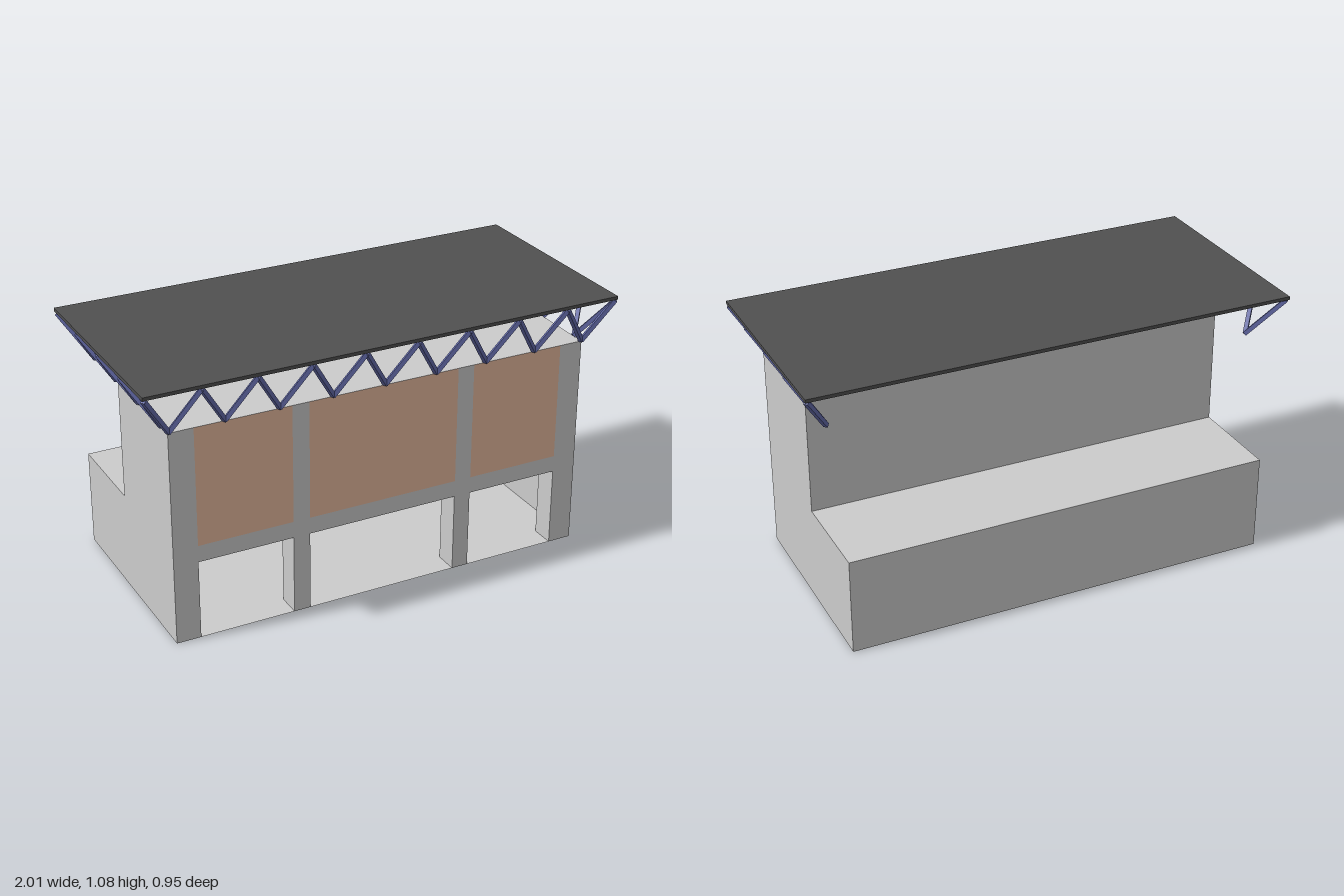
import * as THREE from 'three';

const HALF = 0.885;               // half width of the building
const FRONT = 0.41, BACK = -0.475, STEP = -0.075;
const TOP = 0.89, LOW = 0.4;
const ROOF_Y = 1.07;
const BAYS = [[-0.785, -0.39], [-0.32, 0.32], [0.39, 0.785]];

const grey = new THREE.MeshStandardMaterial({ color: 0xcccccc, side: THREE.DoubleSide });
const orange = new THREE.MeshStandardMaterial({ color: 0xe8ba9f });
const dark = new THREE.MeshStandardMaterial({ color: 0x505050 });
const blue = new THREE.MeshStandardMaterial({ color: 0x636aa8 });

function add(parent, name, geometry, material, x = 0, y = 0, z = 0) {
  const mesh = new THREE.Mesh(geometry, material);
  mesh.name = name;
  mesh.position.set(x, y, z);
  parent.add(mesh);
  return mesh;
}

// Square bar between two points
function addBar(parent, a, b) {
  const bar = add(parent, 'trussBar', new THREE.BoxGeometry(0.017, 0.017, a.distanceTo(b)), blue);
  bar.position.lerpVectors(a, b, 0.5);
  bar.lookAt(b);
}

// Zigzag of bars: from a top node down to a bottom node and up again
function makeTruss(name, count, topNode, bottomNode) {
  const truss = new THREE.Group();
  truss.name = name;
  for (let i = 0; i < count; i++) {
    addBar(truss, topNode(i), bottomNode(i));
    addBar(truss, bottomNode(i), topNode(i + 1));
  }
  return truss;
}

export function createModel() {
  const model = new THREE.Group();
  model.name = 'building';

  // Hollow shell: stepped section as [z, y], open towards the front
  const shell = new THREE.Group();
  shell.name = 'shell';
  model.add(shell);
  const section = [[FRONT, 0], [BACK, 0], [BACK, LOW], [STEP, LOW], [STEP, TOP], [FRONT, TOP]];
  const names = ['floor', 'rearWall', 'rearRoof', 'upperRearWall', 'upperDeck'];
  names.forEach((name, i) => {
    const [z0, y0] = section[i], [z1, y1] = section[i + 1];
    const sheet = new THREE.PlaneGeometry(2 * HALF, Math.hypot(z1 - z0, y1 - y0));
    sheet.rotateX(Math.atan2(z1 - z0, y1 - y0));
    add(shell, name, sheet, grey, 0, (y0 + y1) / 2, (z0 + z1) / 2);
  });
  const sideShape = new THREE.Shape(section.map(([z, y]) => new THREE.Vector2(-z, y)));
  for (const s of [-1, 1]) {
    add(shell, s > 0 ? 'leftWall' : 'rightWall', new THREE.ShapeGeometry(sideShape), grey, s * HALF)
      .rotation.y = Math.PI / 2;
  }

  // Front wall with three doorways cut from the ground up
  const wall = new THREE.Shape();
  wall.moveTo(-HALF, 0);
  for (const [x0, x1] of BAYS) {
    wall.lineTo(x0, 0);
    wall.lineTo(x0, 0.33);
    wall.lineTo(x1, 0.33);
    wall.lineTo(x1, 0);
  }
  wall.lineTo(HALF, 0);
  wall.lineTo(HALF, TOP);
  wall.lineTo(-HALF, TOP);
  add(model, 'frontWall', new THREE.ExtrudeGeometry(wall, { depth: 0.1, bevelEnabled: false }),
    grey, 0, 0, FRONT - 0.1);

  // Coloured panels above the doorways
  for (const [x0, x1] of BAYS) {
    add(model, 'frontPanel', new THREE.PlaneGeometry(x1 - x0, TOP - LOW), orange,
      (x0 + x1) / 2, (TOP + LOW) / 2, FRONT + 0.0015);
  }

  // Flat roof
  add(model, 'roof', new THREE.BoxGeometry(2, 0.014, 0.903), dark, 0, 1.076, 0.0235);

  // Trusses lean outwards from the walls to the roof edges
  const v = (x, y, z) => new THREE.Vector3(x, y, z);
  const p = 1.984 / 9;
  model.add(makeTruss('frontTruss', 9,
    i => v(-0.992 + p * i, ROOF_Y - 0.005, 0.467),
    i => v(-0.992 + p * (i + 0.5), TOP + 0.004, 0.412)));
  for (const s of [-1, 1]) {
    model.add(makeTruss(s > 0 ? 'leftTruss' : 'rightTruss', 4,
      i => v(s * 0.992, ROOF_Y - 0.005, 0.467 - p * i),
      i => v(s * 0.885, TOP + 0.004, 0.467 - p * (i + 0.5))));
  }
  return model;
}
